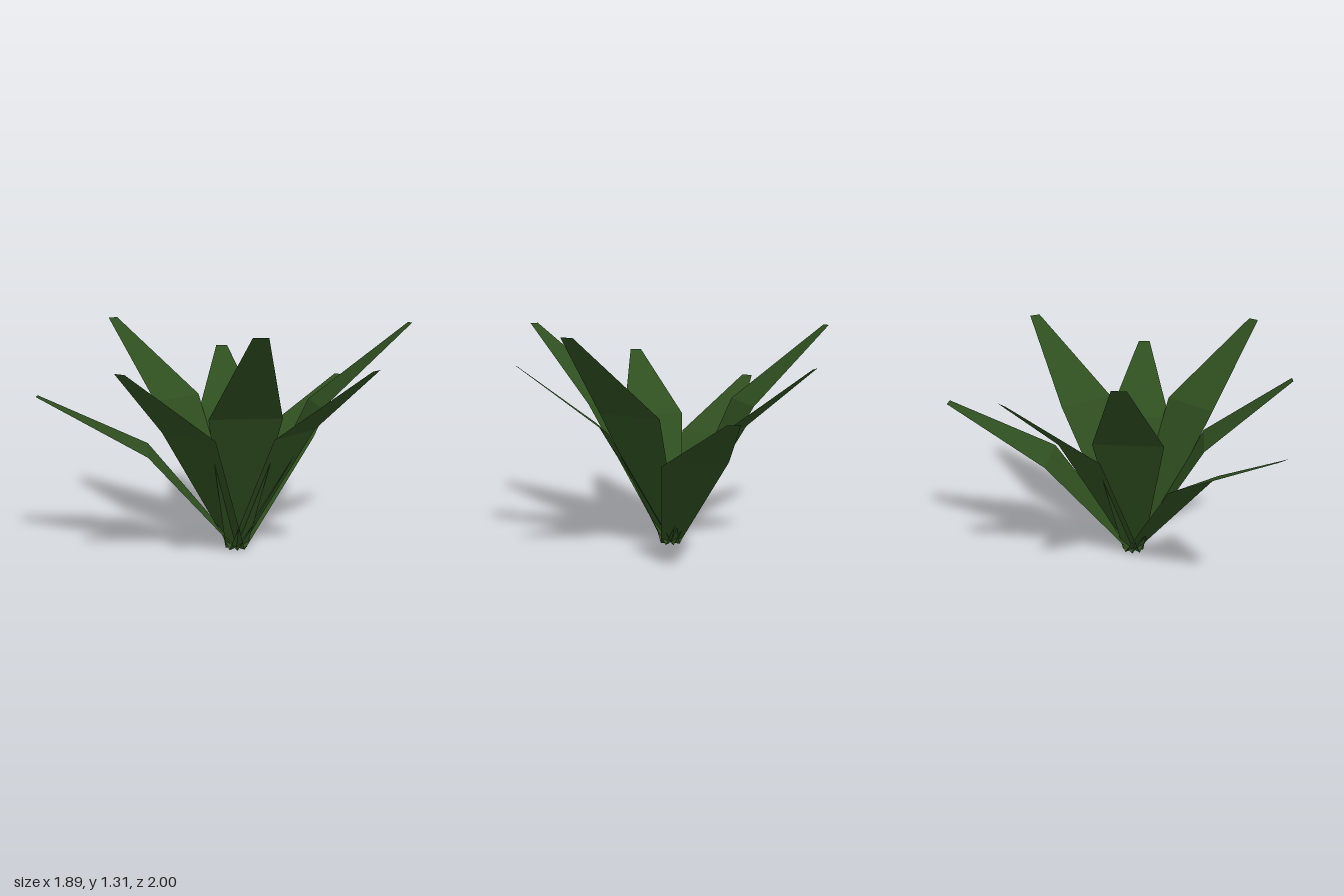
import * as THREE from 'three';

// Three leaf kinds; each cross-section is [reach outwards, height, half width]
const LEAVES = {
  tall: [[0, 0, 0.0625], [0.455, 0.85, 0.1925], [1.0, 1.31, 0.036]],
  medium: [[0, 0, 0.0625], [0.41, 0.73, 0.1925], [0.892, 1.112, 0.036]],
  low: [[0, 0, 0.0625], [0.505, 0.6, 0.1925], [1.107, 0.92, 0.036]],
};

// Flat folded blade growing towards +z
function leafGeometry(sections) {
  const points = [];
  for (let i = 0; i < sections.length - 1; i++) {
    const [z0, y0, w0] = sections[i];
    const [z1, y1, w1] = sections[i + 1];
    const a = [-w0, y0, z0], b = [w0, y0, z0];
    const c = [-w1, y1, z1], d = [w1, y1, z1];
    points.push(...a, ...c, ...b, ...b, ...c, ...d);
  }
  const geometry = new THREE.BufferGeometry();
  geometry.setAttribute('position', new THREE.Float32BufferAttribute(points, 3));
  geometry.computeVertexNormals();
  return geometry;
}

export function createModel() {
  const plant = new THREE.Group();
  plant.name = 'plant';
  const material = new THREE.MeshStandardMaterial({
    color: 0x2f4f20, flatShading: true, side: THREE.DoubleSide,
  });
  const kinds = Object.keys(LEAVES);
  const geometries = kinds.map((kind) => leafGeometry(LEAVES[kind]));

  // Eight leaves around one root, cycling through the three kinds
  for (let i = 0; i < 8; i++) {
    const leaf = new THREE.Mesh(geometries[i % 3], material);
    leaf.name = kinds[i % 3] + 'Leaf' + (i + 1);
    leaf.rotation.y = (1 - i) * Math.PI / 4;
    leaf.position.set(0.055, 0, 0.107);
    plant.add(leaf);
  }
  return plant;
}
